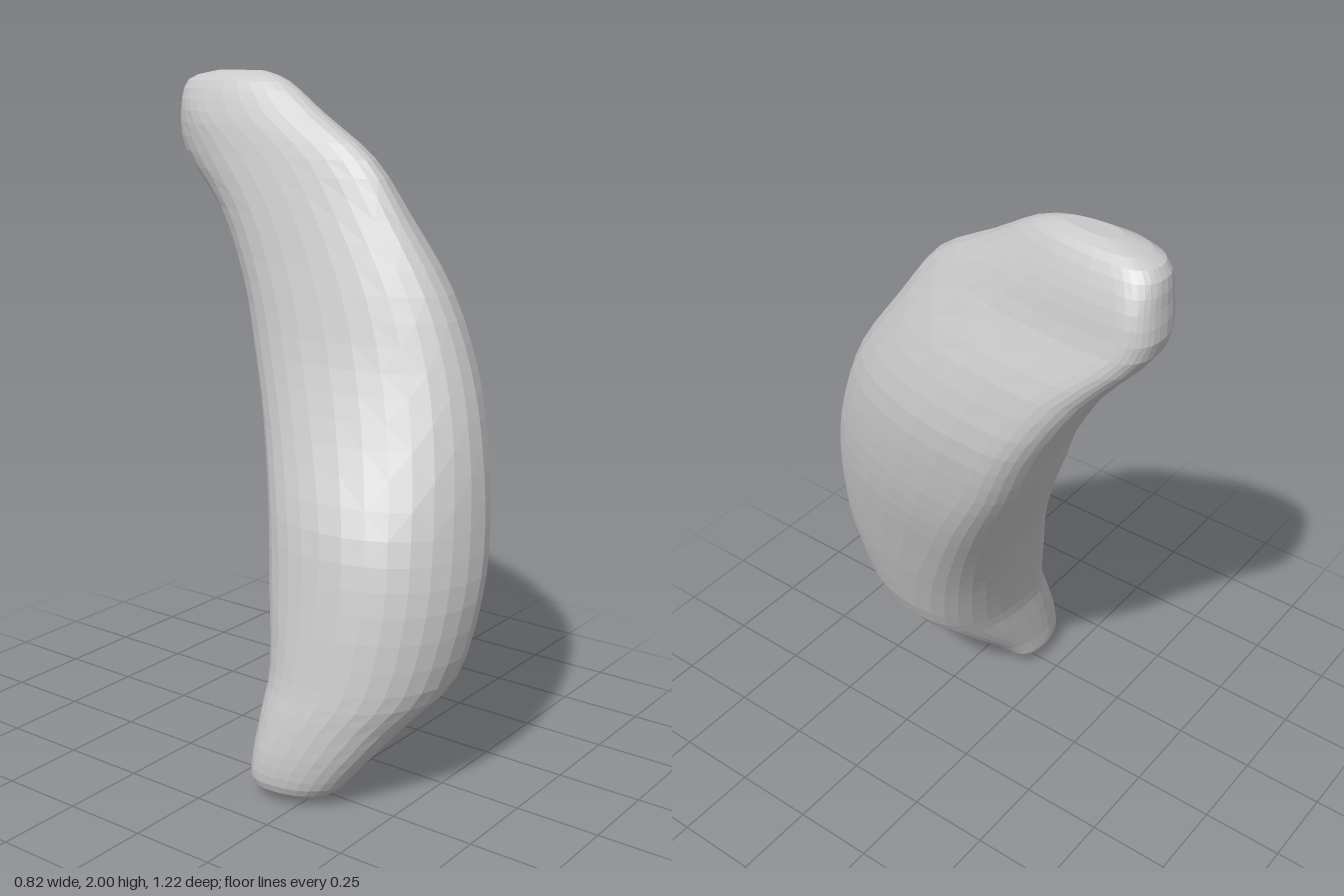
import * as THREE from 'three';

// Horizontal cross-sections: y, then [x, z] of the front, left (+x), back and right (-x) extremes
const SECTIONS = [
  [0.00, -0.28, 0.25, -0.24, 0.18, -0.29, 0.15, -0.33, 0.20],
  [0.04, -0.29, 0.33, -0.18, 0.13, -0.27, 0.07, -0.40, 0.16],
  [0.12, -0.26, 0.395, -0.11, 0.16, -0.26, 0.065, -0.41, 0.17],
  [0.24, -0.18, 0.485, 0.02, 0.22, -0.23, 0.065, -0.39, 0.22],
  [0.36, -0.08, 0.57, 0.13, 0.28, -0.19, 0.06, -0.36, 0.27],
  [0.58, -0.01, 0.605, 0.21, 0.22, -0.12, 0.005, -0.315, 0.28],
  [0.78, 0.05, 0.59, 0.275, 0.12, -0.02, -0.06, -0.265, 0.25],
  [1.00, 0.09, 0.55, 0.345, 0.00, 0.09, -0.16, -0.165, 0.15],
  [1.20, 0.12, 0.49, 0.39, -0.12, 0.18, -0.26, -0.09, 0.06],
  [1.40, 0.13, 0.40, 0.41, -0.21, 0.24, -0.35, -0.04, -0.02],
  [1.60, 0.13, 0.26, 0.38, -0.33, 0.26, -0.47, 0.005, -0.13],
  [1.76, 0.13, 0.14, 0.325, -0.50, 0.22, -0.60, 0.04, -0.27],
  [1.88, 0.15, -0.05, 0.295, -0.52, 0.20, -0.60, 0.065, -0.42],
  [1.97, 0.17, -0.19, 0.25, -0.47, 0.18, -0.57, 0.10, -0.43],
  [2.00, 0.17, -0.28, 0.20, -0.40, 0.17, -0.45, 0.14, -0.39],
];
const FULLNESS = [1, 0.77, 0.95, 0.95]; // roundness of each quarter, lower is fuller
const STEPS = 3; // rings per section
const ARC = 8;   // points per quarter

// Smooth interpolation between neighbouring sections
function sectionAt(t) {
  const last = SECTIONS.length - 1;
  const i = Math.min(Math.floor(t), last - 1), f = t - i;
  const row = (k) => SECTIONS[Math.max(0, Math.min(last, k))];
  const [a, b, c, d] = [row(i - 1), row(i), row(i + 1), row(i + 2)];
  return b.map((v, k) => {
    const m0 = (c[k] - a[k]) / 2, m1 = (d[k] - v) / 2;
    const f2 = f * f, f3 = f2 * f;
    return (2 * f3 - 3 * f2 + 1) * v + (f3 - 2 * f2 + f) * m0
      + (3 * f2 - 2 * f3) * c[k] + (f3 - f2) * m1;
  });
}

// One closed ring made of four rounded quarters joining the extremes
function ring(s) {
  const points = [];
  for (let q = 0; q < 4; q++) {
    const n = (q + 1) % 4;
    const ax = s[1 + 2 * q], az = s[2 + 2 * q], bx = s[1 + 2 * n], bz = s[2 + 2 * n];
    for (let j = 0; j < ARC; j++) {
      const angle = (j / ARC) * Math.PI / 2;
      const u = Math.pow(Math.sin(angle), FULLNESS[q]), w = Math.pow(Math.cos(angle), FULLNESS[q]);
      // the direction of travel alternates between the x and z axes
      points.push(q % 2 === 0
        ? [ax + (bx - ax) * u, s[0], bz + (az - bz) * w]
        : [bx + (ax - bx) * w, s[0], az + (bz - az) * u]);
    }
  }
  return points;
}

function bodyGeometry() {
  const positions = [], index = [];
  const count = (SECTIONS.length - 1) * STEPS, sides = ARC * 4;
  for (let r = 0; r <= count; r++) {
    for (const p of ring(sectionAt(r / STEPS))) positions.push(...p);
  }
  for (let r = 0; r < count; r++) {
    for (let j = 0; j < sides; j++) {
      const k = (j + 1) % sides;
      const a = r * sides + j, b = r * sides + k, c = a + sides, d = b + sides;
      if ((r + j) % 2) index.push(a, b, d, a, d, c);
      else index.push(a, b, c, b, d, c);
    }
  }
  // close both ends with fans
  for (const [r, top] of [[0, false], [count, true]]) {
    const s = sectionAt(r / STEPS), centre = positions.length / 3;
    positions.push((s[3] + s[7]) / 2, s[0], (s[2] + s[6]) / 2);
    for (let j = 0; j < sides; j++) {
      const a = r * sides + j, b = r * sides + (j + 1) % sides;
      index.push(...(top ? [centre, a, b] : [centre, b, a]));
    }
  }
  const geometry = new THREE.BufferGeometry();
  geometry.setAttribute('position', new THREE.Float32BufferAttribute(positions, 3));
  geometry.setIndex(index);
  geometry.computeVertexNormals();
  return geometry;
}

export function createModel() {
  const group = new THREE.Group();
  group.name = 'curvedLobe';
  const grey = new THREE.MeshStandardMaterial({ color: 0xc8c8c8 });
  grey.name = 'grey';
  grey.flatShading = true;
  const body = new THREE.Mesh(bodyGeometry(), grey);
  body.name = 'body';
  group.add(body);
  return group;
}
